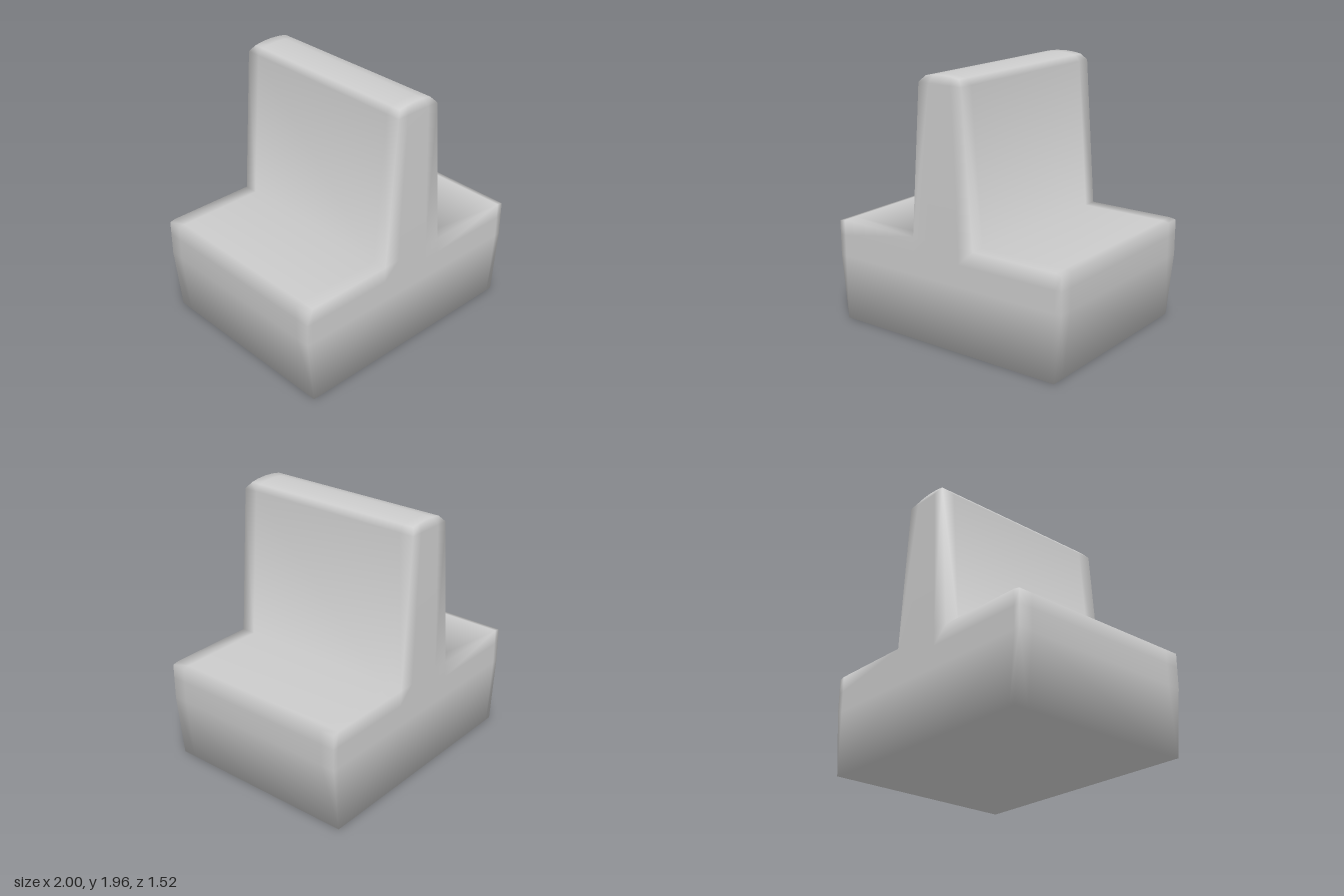
import * as THREE from 'three';

// Control lattice: columns across x, rows up y, layers along z
const BASE_X = [-1, -0.95, -0.27, -0.14, 0, 0.14, 0.27, 0.95, 1];
const ROW_Y = [0, 0.5, 0.66, 0.78, 1.9, 1.96];
const LAYER_Z = [-0.76, -0.65, 0.65, 0.76];
const CELLS = [BASE_X.length - 1, ROW_Y.length - 1, LAYER_Z.length - 1];
const BASE_ROWS = 3;

// Wide base below, narrow upright in the middle columns above
function isFilled([i, j, k]) {
  if ([i, j, k].some((v, a) => v < 0 || v >= CELLS[a])) return false;
  return j < BASE_ROWS || (i >= 2 && i <= 5);
}

function latticePoint([i, j, k]) {
  let x = BASE_X[i], y = ROW_Y[j], z = LAYER_Z[k];
  if (j === 0) x *= 0.95; // base narrows towards the floor
  if (j === 3 && Math.abs(x) === 1) y -= 0.01; // softened shoulder
  if (j === 4) x *= 0.185 / 0.27; // upright tapers
  if (j === 5) { // crowned, chamfered top
    x *= 0.145 / 0.27;
    y -= 0.015 * (x / 0.145) ** 2;
    if (k === 0 || k === 3) z = Math.sign(z) * 0.73;
  }
  return [x, y, z];
}

// Skin every exposed cell face, sharing vertices for smooth shading
function buildSkin() {
  const positions = [], index = [], ids = new Map(), floor = [];
  const vertex = (p) => {
    const key = p.join();
    if (!ids.has(key)) {
      const id = positions.length / 3;
      ids.set(key, id);
      positions.push(...latticePoint(p));
      if (p[1] === 0) floor.push(id);
    }
    return ids.get(key);
  };
  const addFace = (cell, axis, side) => {
    const b = (axis + 1) % 3, c = (axis + 2) % 3;
    const q = [[0, 0], [1, 0], [1, 1], [0, 1]].map(([u, v]) => {
      const p = [...cell];
      p[axis] += side > 0 ? 1 : 0;
      p[b] += u;
      p[c] += v;
      return vertex(p);
    });
    if (side < 0) q.reverse();
    index.push(q[0], q[1], q[2], q[0], q[2], q[3]);
  };
  for (let i = 0; i < CELLS[0]; i++)
    for (let j = 0; j < CELLS[1]; j++)
      for (let k = 0; k < CELLS[2]; k++) {
        const cell = [i, j, k];
        if (!isFilled(cell)) continue;
        for (let axis = 0; axis < 3; axis++)
          for (const side of [-1, 1]) {
            const next = [...cell];
            next[axis] += side;
            if (!isFilled(next)) addFace(cell, axis, side);
          }
      }
  const geometry = new THREE.BufferGeometry();
  geometry.setAttribute('position', new THREE.Float32BufferAttribute(positions, 3));
  geometry.setIndex(index);
  geometry.computeVertexNormals();
  // The flat underside dominates the shading of the lower rim
  for (const id of floor) geometry.attributes.normal.setXYZ(id, 0, -1, 0);
  return geometry;
}

export function createModel() {
  const group = new THREE.Group();
  group.name = 'invertedTeeBlock';
  const body = new THREE.Mesh(buildSkin(), new THREE.MeshStandardMaterial({ color: 0xcccccc }));
  body.name = 'baseAndUpright';
  group.add(body);
  return group;
}
